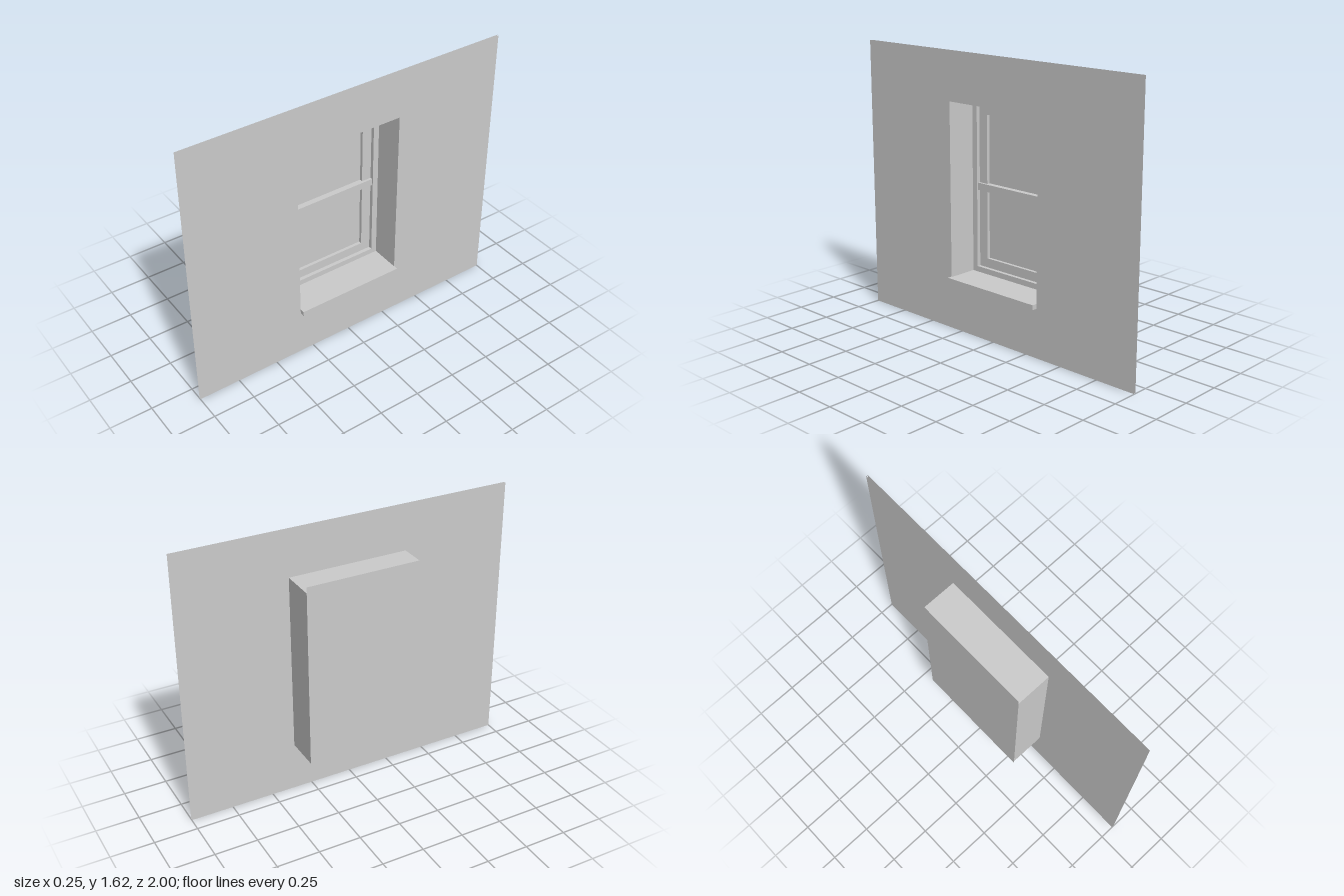
import * as THREE from 'three';

const solid = new THREE.MeshStandardMaterial({ color: 0xcccccc, flatShading: true });
const thin = new THREE.MeshStandardMaterial({ color: 0xcccccc, flatShading: true, side: THREE.DoubleSide });

// A rectangle is [half width along z, bottom y, top y]
const WALL = [1, 0, 1.625];
const CASING = [0.355, 0.295, 1.35];
const OPENING = [0.33, 0.312, 1.34];
const FRAME_INNER = [0.295, 0.345, 1.31];
const GLAZING = [0.235, 0.4, 1.25];
const BACK = -0.125;

function trace(path, [w, y0, y1]) {
  path.moveTo(-w, y0);
  path.lineTo(w, y0);
  path.lineTo(w, y1);
  path.lineTo(-w, y1);
  path.closePath();
  return path;
}

function ringShape(outer, inner) {
  const shape = trace(new THREE.Shape(), outer);
  shape.holes.push(trace(new THREE.Path(), inner));
  return shape;
}

export function createModel() {
  const group = new THREE.Group();

  function add(name, geometry, material) {
    const mesh = new THREE.Mesh(geometry, material);
    mesh.name = name;
    group.add(mesh);
    return mesh;
  }

  // Rectangular ring running from x0 to x1
  function ring(name, outer, inner, x0, x1) {
    const geometry = new THREE.ExtrudeGeometry(ringShape(outer, inner), { depth: x1 - x0, bevelEnabled: false });
    geometry.rotateY(Math.PI / 2).translate(x0, 0, 0);
    add(name, geometry, solid);
  }

  // Thin wall sheet with a cut-out, facing +x
  function sheet(name, hole, x) {
    const geometry = new THREE.ShapeGeometry(ringShape(WALL, hole));
    geometry.rotateY(Math.PI / 2).translate(x, 0, 0);
    add(name, geometry, thin);
  }

  function bar(name, x0, x1, [w, y0, y1]) {
    const mesh = add(name, new THREE.BoxGeometry(x1 - x0, y1 - y0, 2 * w), solid);
    mesh.position.set((x0 + x1) / 2, (y0 + y1) / 2, 0);
  }

  // Wall: two open sheets with a narrow gap between
  sheet('wallFront', OPENING, 0.095);
  sheet('wallBack', CASING, 0.085);

  // Lining that joins the sheets around the opening
  const [w, y0, y1] = OPENING;
  for (const y of [y0, y1]) {
    const strip = add('liningHorizontal', new THREE.PlaneGeometry(0.01, 2 * w).rotateX(-Math.PI / 2), thin);
    strip.position.set(0.09, y, 0);
  }
  for (const z of [-w, w]) {
    const strip = add('liningVertical', new THREE.PlaneGeometry(0.01, y1 - y0), thin);
    strip.position.set(0.09, (y0 + y1) / 2, z);
  }

  // Deep casing behind the wall, then the stepped window frame
  ring('casing', CASING, OPENING, BACK + 0.001, 0.085);
  ring('windowFrame', OPENING, FRAME_INNER, BACK + 0.001, -0.083);
  ring('sash', FRAME_INNER, GLAZING, BACK + 0.001, -0.105);
  bar('meetingRail', BACK + 0.001, -0.09, [0.295, 0.805, 0.848]);

  // Pane, slightly taller than the casing
  const pane = add('pane', new THREE.PlaneGeometry(0.71, 1.12).rotateY(Math.PI / 2), thin);
  pane.position.set(BACK, 0.825, 0);

  // Sill in front of the wall
  bar('sill', 0.095, 0.125, [0.33, 0.287, 0.315]);

  return group;
}
